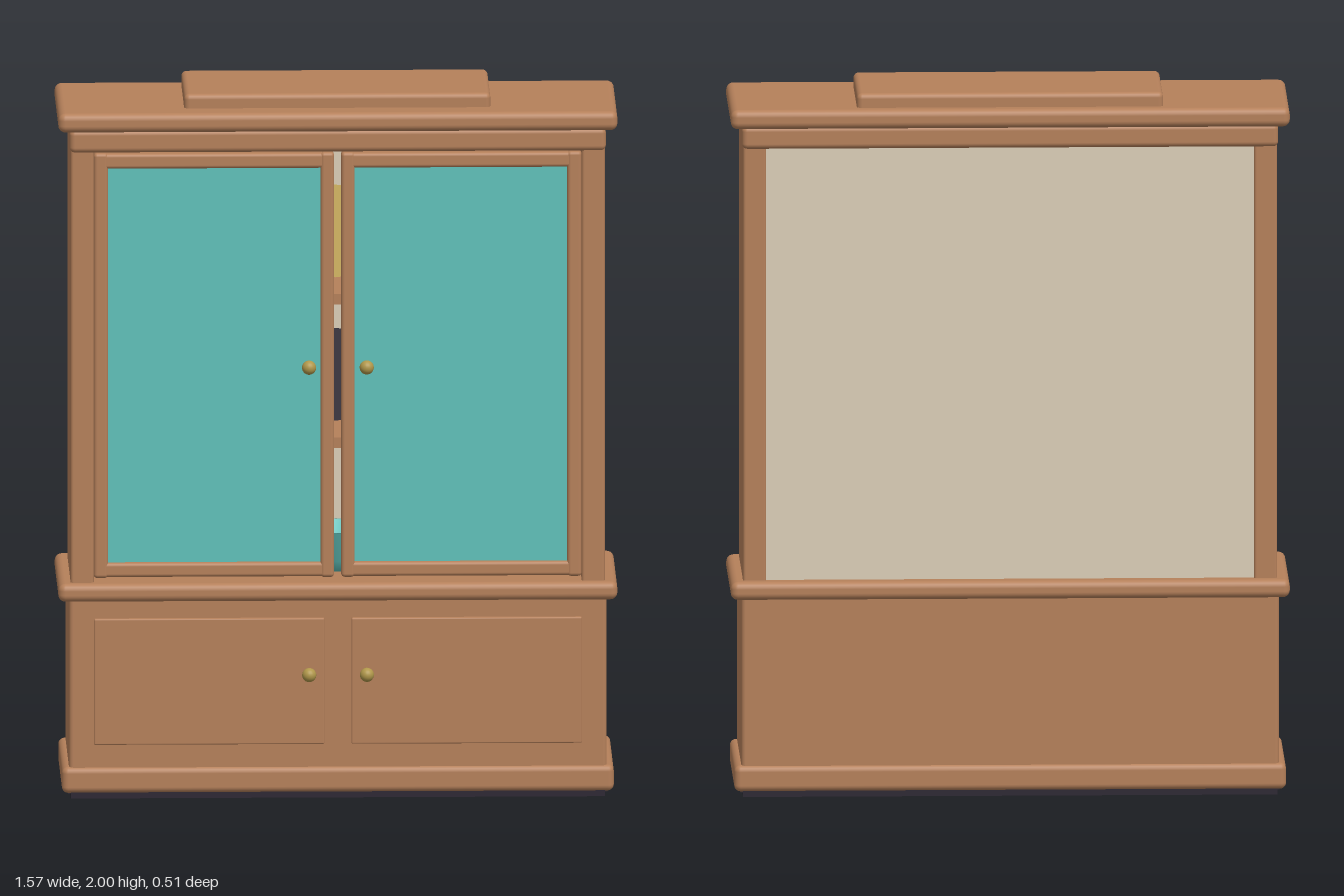
import * as THREE from 'three';
import { RoundedBoxGeometry } from 'three/addons/geometries/RoundedBoxGeometry.js';

const mat = (name, color) => {
  const m = new THREE.MeshStandardMaterial({ color });
  m.name = name;
  return m;
};

export function createModel() {
  const wood = mat('wood', 0xb5805a);
  const glass = mat('teal glass', 0x60c1ba);
  const cream = mat('cream back', 0xdccfb8);
  const brass = mat('brass', 0xb0974a);
  const dark = mat('dark underside', 0x2c2632);
  const china = mat('yellow china', 0xc9ac58);

  const cabinet = new THREE.Group();
  cabinet.name = 'displayCabinet';

  const add = (parent, name, geometry, material, x = 0, y = 0, z = 0) => {
    const mesh = new THREE.Mesh(geometry, material);
    mesh.name = name;
    mesh.position.set(x, y, z);
    parent.add(mesh);
    return mesh;
  };
  // Box given by its limits on each axis, with optionally softened edges
  const box = (parent, name, material, [x0, x1], [y0, y1], [z0, z1], r = 0) => {
    const size = [x1 - x0, y1 - y0, z1 - z0];
    const geometry = r ? new RoundedBoxGeometry(...size, 3, r) : new THREE.BoxGeometry(...size);
    return add(parent, name, geometry, material, (x0 + x1) / 2, (y0 + y1) / 2, (z0 + z1) / 2);
  };

  // Base, chest, ledge and stacked cornice
  box(cabinet, 'underside', dark, [-0.75, 0.75], [0, 0.03], [-0.23, 0.21]);
  box(cabinet, 'plinth', wood, [-0.775, 0.775], [0.015, 0.09], [-0.24, 0.22], 0.018);
  box(cabinet, 'underPanel', dark, [-0.757, 0.757], [0.012, 0.018], [-0.222, 0.202]);
  box(cabinet, 'lowerChest', wood, [-0.755, 0.755], [0.05, 0.59], [-0.23, 0.21], 0.012);
  box(cabinet, 'ledge', wood, [-0.785, 0.785], [0.563, 0.615], [-0.255, 0.228], 0.02);
  box(cabinet, 'corniceLower', wood, [-0.753, 0.753], [1.845, 1.91], [-0.23, 0.21], 0.015);
  box(cabinet, 'corniceUpper', wood, [-0.785, 0.785], [1.905, 1.96], [-0.255, 0.228], 0.02);
  box(cabinet, 'crownPanel', wood, [-0.43, 0.43], [1.94, 2], [-0.215, 0.147], 0.015);

  // Back panel and shelves
  box(cabinet, 'backPanel', cream, [-0.69, 0.69], [0.6, 1.85], [-0.21, -0.195]);
  for (const y of [0.98, 1.39]) {
    box(cabinet, 'shelf', wood, [-0.69, 0.69], [y, y + 0.03], [-0.195, 0.11]);
  }

  // Dishes standing on the shelves
  const plate = new THREE.CylinderGeometry(0.13, 0.13, 0.015, 32).rotateX(Math.PI / 2 - 0.15);
  const bowl = new THREE.LatheGeometry(
    [[0, 0], [0.05, 0], [0.06, 0.03], [0.11, 0.12], [0.1, 0.12], [0.05, 0.04], [0, 0.03]]
      .map(([x, y]) => new THREE.Vector2(x, y)), 32);
  for (const x of [-0.4, 0, 0.4]) {
    add(cabinet, 'upperPlate', plate, china, x, 1.55, -0.15);
    add(cabinet, 'middlePlate', plate, dark, x, 1.14, -0.15);
    add(cabinet, 'bowl', bowl, glass, x, 0.615, 0);
  }

  for (const s of [-1, 1]) {
    // Limits are given for the +x half and mirrored
    const span = (a, b) => (s > 0 ? [a, b] : [-b, -a]);
    box(cabinet, 'sidePanel', wood, span(0.685, 0.75), [0.6, 1.86], [-0.22, 0.2], 0.008);

    // Glazed door with rounded stiles and rails
    const door = new THREE.Group();
    door.name = s > 0 ? 'leftGlassDoor' : 'rightGlassDoor';
    cabinet.add(door);
    box(door, 'outerStile', wood, span(0.645, 0.685), [0.625, 1.84], [0.145, 0.19], 0.01);
    box(door, 'innerStile', wood, span(0.01, 0.048), [0.625, 1.84], [0.145, 0.19], 0.01);
    box(door, 'topRail', wood, span(0.03, 0.665), [1.795, 1.838], [0.147, 0.188], 0.01);
    box(door, 'bottomRail', wood, span(0.03, 0.665), [0.627, 0.668], [0.147, 0.188], 0.01);
    box(door, 'pane', glass, span(0.04, 0.65), [0.66, 1.8], [0.165, 0.173]);

    // Raised panel door below
    box(cabinet, 'lowerDoor', wood, span(0.038, 0.685), [0.155, 0.515], [0.19, 0.223], 0.004);

    // Knobs with short stems
    for (const [y, z] of [[1.23, 0.213], [0.355, 0.235]]) {
      add(cabinet, 'knob', new THREE.SphereGeometry(0.02, 20, 14), brass, s * 0.081, y, z);
      const stem = new THREE.CylinderGeometry(0.008, 0.008, 0.05, 12).rotateX(Math.PI / 2);
      const x = s * (z < 0.22 ? 0.081 : 0.08);
      add(cabinet, 'knobStem', stem, brass, x, y, z - 0.025);
    }
  }
  return cabinet;
}
